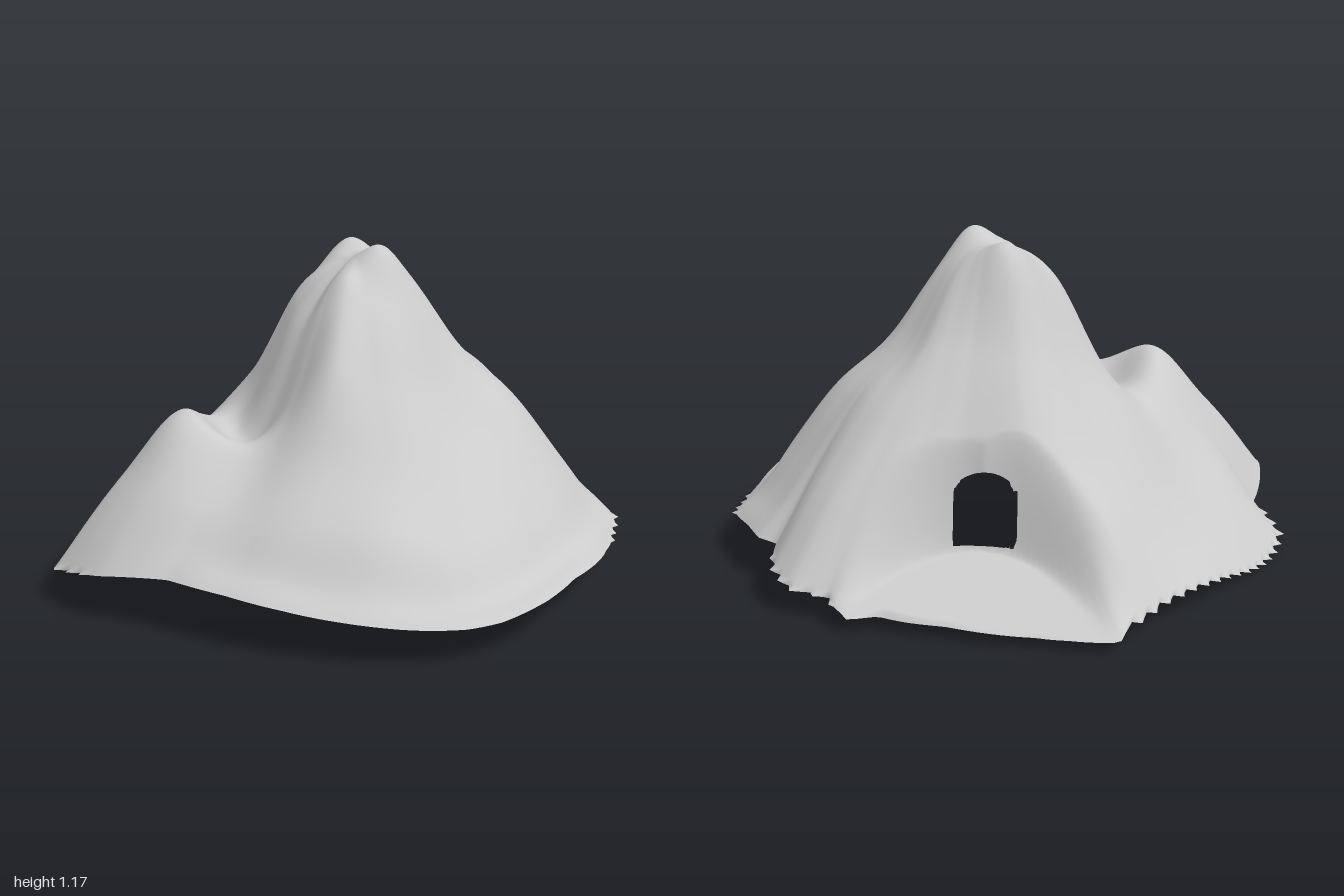
import * as THREE from 'three';
import { mergeVertices } from 'three/addons/utils/BufferGeometryUtils.js';

const CX = 0.05; // x of the summit axis; z of the axis is 0
const SEGMENTS = 264, RINGS = 110;

// Rim of the shell: x, z, y, ordered by angle from +x towards +z
const OUTLINE = [
  [0.98, 0.1, 0.13], [0.95, 0.3, 0.16], [0.9, 0.45, 0.17], [0.83, 0.65, 0.17],
  [0.7, 0.83, 0.15], [0.6, 0.9, 0.14], [0.4, 0.96, 0.16], [0.2, 0.98, 0.17], [0, 0.96, 0.19],
  [-0.2, 0.91, 0.2], [-0.42, 0.83, 0.21], [-0.68, 0.78, 0.19], [-0.8, 0.7, 0.14],
  [-0.9, 0.61, 0.1], [-0.88, 0.3, 0.08], [-0.98, 0.1, 0.01], [-0.93, -0.15, 0.0],
  [-0.81, -0.42, 0.07], [-0.7, -0.6, 0.1], [-0.6, -0.74, 0.1], [-0.5, -0.9, 0.07],
  [-0.48, -0.98, 0.05], [-0.2, -0.97, 0.04], [0.1, -0.94, 0.06], [0.33, -0.9, 0.05],
  [0.42, -0.95, 0.05], [0.52, -0.83, 0.09], [0.65, -0.82, 0.12], [0.73, -0.71, 0.12],
  [0.76, -0.53, 0.16], [0.83, -0.5, 0.16], [0.9, -0.38, 0.17], [0.99, -0.22, 0.13], [0.99, -0.1, 0.12],
];

// Slope heights at 0.2, 0.4, 0.6, 0.8 of the radius, every 22.5 degrees
const SLOPES = [
  [1.03, 0.8, 0.6, 0.36], [1.01, 0.74, 0.52, 0.32], [1.0, 0.72, 0.49, 0.31], [1.01, 0.77, 0.52, 0.34],
  [1.04, 0.85, 0.56, 0.37], [1.01, 0.7, 0.51, 0.37], [0.93, 0.55, 0.58, 0.44], [0.96, 0.58, 0.56, 0.37],
  [1.01, 0.65, 0.44, 0.23], [1.03, 0.71, 0.45, 0.23], [1.06, 0.76, 0.5, 0.3], [1.07, 0.79, 0.52, 0.32],
  [1.08, 0.82, 0.54, 0.33], [1.08, 0.82, 0.58, 0.36], [1.06, 0.78, 0.64, 0.4], [1.05, 0.8, 0.62, 0.38],
];

const TAU = Math.PI * 2;
const RIM = OUTLINE.map(([x, z, y]) => ({
  angle: (Math.atan2(z, x - CX) + TAU) % TAU, radius: Math.hypot(x - CX, z), y,
}));

function cubic(a, b, c, d, f) {
  return b + 0.5 * f * (c - a + f * (2 * a - 5 * b + 4 * c - d + f * (3 * (b - c) + d - a)));
}

function rimAt(angle) {
  const k = Math.max(0, RIM.findIndex((p) => p.angle > angle));
  const a = RIM[(k + RIM.length - 1) % RIM.length], b = RIM[k];
  const f = ((angle - a.angle + TAU) % TAU) / ((b.angle - a.angle + TAU) % TAU);
  return { radius: a.radius + (b.radius - a.radius) * f, y: a.y + (b.y - a.y) * f };
}

// Rim averaged over neighbouring directions, so its corners do not run up the slope
function softRimAt(angle) {
  const mean = { radius: 0, y: 0 };
  for (let k = -7; k <= 7; k++) {
    const p = rimAt((angle + k * 0.03 + TAU) % TAU);
    mean.radius += p.radius / 15;
    mean.y += p.y / 15;
  }
  return mean;
}

// Heights along one direction, from the axis to the rim
function profileAt(angle, rimY) {
  const u = (angle / TAU) * 16, k = Math.floor(u), f = u - k;
  const row = (n) => SLOPES[(k + n + 16) % 16];
  const slope = [0, 1, 2, 3].map((i) => cubic(row(-1)[i], row(0)[i], row(1)[i], row(2)[i], f));
  return [1.11, ...slope, rimY];
}

function heightAt(profile, t) {
  const u = Math.min(t, 0.9999) * 5, k = Math.floor(u);
  const p = (i) => (i < 0 ? profile[1] : i > 5 ? 2 * profile[5] - profile[4] : profile[i]);
  return cubic(p(k - 1), p(k), p(k + 1), p(k + 2), u - k);
}

const bump = (x, z, cx, cz, size, height) =>
  height * Math.exp(-((x - cx) ** 2 + (z - cz) ** 2) / (size * size));

// Rounded alcove cut into the back, with a gently sloping floor
function alcove(x, z, hill) {
  const dx = x - 0.02;
  const d = (z + 0.58 + 1.7 * dx * dx) / Math.hypot(1, 3.4 * dx);
  const wall = THREE.MathUtils.smoothstep(d, -0.025, 0.025 + 0.25 * Math.abs(dx));
  const floor = Math.min(hill, 0.19 + (z + 0.6) * 0.37);
  return floor + (hill - floor) * wall;
}

// Ragged stretches of the rim
function toothAt(j) {
  const deg = (j / SEGMENTS) * 360;
  const size = deg > 166 && deg < 238 ? 0.04
    : (deg > 137 && deg < 147) || (deg > 296 && deg < 318) || deg > 346 ? 0.025 : 0;
  return size * ((j % 3) / 2 - 0.5);
}

// Negative inside the arched doorway at the back of the alcove
const doorway = ([x, y, z]) => Math.max(
  Math.abs(x - 0.015) - 0.11, 0.205 - y, y - 0.46 + 4 * (x - 0.015) ** 2, Math.abs(z + 0.57) - 0.08,
);

// Cuts the doorway out of one face
function clipDoorway(face) {
  const kept = [];
  face.forEach((a, k) => {
    const b = face[(k + 1) % face.length], da = doorway(a), db = doorway(b);
    if (da >= 0) kept.push(a);
    if (da * db < 0) kept.push(a.map((v, i) => v + ((b[i] - v) * da) / (da - db)));
  });
  return kept;
}

function slopePoint(angle, i, rim, soft, profile, tooth) {
  const t = i / RINGS;
  const r = t * rim.radius + (i === RINGS ? tooth : 0);
  const x = CX + r * Math.cos(angle), z = r * Math.sin(angle);
  let y = heightAt(profile, THREE.MathUtils.lerp(r / soft.radius, t, t ** 4));
  // soft gullies
  y += 0.03 * t * (1 - t) * (Math.sin(9 * x + 5 * z) + Math.sin(11 * z - 7 * x + 1) + Math.sin(17 * x + 3));
  // hollow above the flared front and left rim
  y -= 0.04 * Math.max(0, Math.cos(angle - 0.8)) * Math.exp(-(((t - 0.9) / 0.07) ** 2));
  // the two summits, the small front knob and the shoulder hill
  y += bump(x, z, 0.15, 0.01, 0.09, 0.09) + bump(x, z, 0, -0.21, 0.1, 0.09)
    + bump(x, z, 0.05, 0.16, 0.06, 0.02) + bump(x, z, -0.5, 0.4, 0.14, 0.06);
  return [x, Math.max(0, alcove(x, z, y)), z];
}

function mountainGeometry() {
  const spokes = [];
  for (let j = 0; j < SEGMENTS; j++) {
    const angle = (j / SEGMENTS) * TAU;
    const rim = rimAt(angle), soft = softRimAt(angle), profile = profileAt(angle, soft.y);
    const spoke = [];
    for (let i = 0; i <= RINGS; i++) spoke.push(slopePoint(angle, i, rim, soft, profile, toothAt(j)));
    spokes.push(spoke);
  }
  const pos = [];
  const addFace = (face) => {
    const p = clipDoorway(face);
    for (let k = 2; k < p.length; k++) pos.push(...p[0], ...p[k - 1], ...p[k]);
  };
  spokes.forEach((s, j) => {
    const n = spokes[(j + 1) % SEGMENTS];
    addFace([s[0], n[1], s[1]]);
    for (let i = 1; i < RINGS; i++) {
      addFace([s[i], n[i], n[i + 1]]);
      addFace([s[i], n[i + 1], s[i + 1]]);
    }
  });
  const soup = new THREE.BufferGeometry();
  soup.setAttribute('position', new THREE.Float32BufferAttribute(pos, 3));
  const geometry = mergeVertices(soup, 1e-5);
  geometry.computeVertexNormals();
  return geometry;
}

export function createModel() {
  const group = new THREE.Group();
  group.name = 'mountain';
  const material = new THREE.MeshStandardMaterial({ color: 0xcccccc, side: THREE.DoubleSide });
  const shell = new THREE.Mesh(mountainGeometry(), material);
  shell.name = 'mountainShell';
  group.add(shell);
  return group;
}
